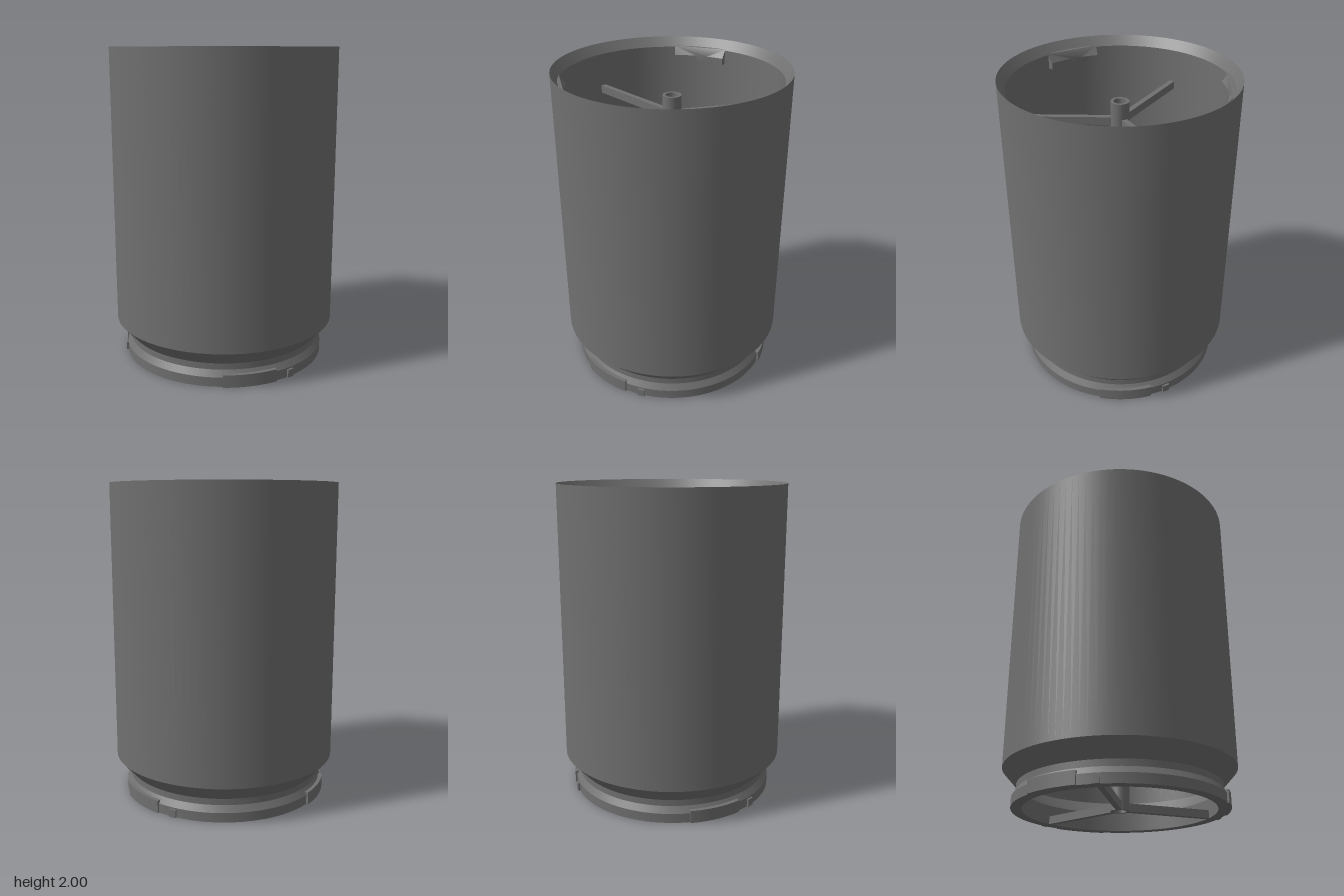
import * as THREE from 'three';
import { toCreasedNormals } from 'three/addons/utils/BufferGeometryUtils.js';

const grey = new THREE.MeshStandardMaterial({ color: 0x707070 });
grey.name = 'grey';

const rad = THREE.MathUtils.degToRad;

function add(parent, name, geometry) {
  const mesh = new THREE.Mesh(geometry, grey);
  mesh.name = name;
  parent.add(mesh);
  return mesh;
}

// Revolved closed profile, outside listed upwards, with sharp edges kept
function turned(profile, segments) {
  const points = profile.map(([r, y]) => new THREE.Vector2(r, y));
  return toCreasedNormals(new THREE.LatheGeometry(points, segments), 0.4);
}

// Ring sector from angle a0 to a1 (degrees from +x towards +z);
// innerDrop lowers the inner top edge to slope the top face
function sector(rIn, rOut, a0, a1, y0, y1, innerDrop = 0) {
  const shape = new THREE.Shape();
  shape.absarc(0, 0, rOut, rad(a0), rad(a1), false);
  shape.absarc(0, 0, rIn, rad(a1), rad(a0), true);
  const geometry = new THREE.ExtrudeGeometry(shape, { depth: y1 - y0, bevelEnabled: false, curveSegments: 16 });
  geometry.rotateX(Math.PI / 2).translate(0, y1, 0);
  const p = geometry.attributes.position;
  for (let i = 0; i < p.count; i++) {
    const r = Math.hypot(p.getX(i), p.getZ(i));
    if (r < (rIn + rOut) / 2 && p.getY(i) > y1 - 0.001) p.setY(i, y1 - innerDrop);
  }
  geometry.computeVertexNormals();
  return toCreasedNormals(geometry, 0.4);
}

export function createModel() {
  const group = new THREE.Group();
  group.name = 'canister';

  // Open tube with a chamfered mouth, tapered shoulder, neck and bottom flange
  add(group, 'body', turned([
    [0.588, 0], [0.655, 0], [0.655, 0.06], [0.63, 0.1], [0.63, 0.14], [0.72, 0.24], [0.72, 2],
    [0.675, 1.94], [0.675, 0.2], [0.65, 0.2], [0.588, 0.12], [0.588, 0],
  ], 96));

  // Central tube
  add(group, 'hub', turned([
    [0.04, 0], [0.058, 0], [0.058, 1.83], [0.04, 1.83], [0.04, 0],
  ], 32));

  // Parts repeated three times around the axis
  for (let i = 0; i < 3; i++) {
    const turn = i * 120;

    // Bayonet lug and small stop on the flange
    add(group, 'lug', sector(0.615, 0.667, 40.5 + turn, 70 + turn, 0, 0.08));
    add(group, 'stop', sector(0.615, 0.667, 29 + turn, 33 + turn, 0, 0.05));

    // Locking tab inside the mouth
    add(group, 'lockingTab', sector(0.64, 0.68, 75 + turn, 105 + turn, 1.85, 1.946, 0.053));

    // Upper and lower spokes joining the hub to the wall
    const spokes = new THREE.Group();
    spokes.name = 'spokes';
    for (const [name, top, end] of [['upperSpoke', 1.73, 0.677], ['lowerSpoke', 0.05, 0.6]]) {
      const start = 0.05;
      const spoke = add(spokes, name, new THREE.BoxGeometry(0.035, 0.05, end - start));
      spoke.position.set(0, top - 0.025, -(start + end) / 2);
    }
    spokes.rotation.y = rad(turn);
    group.add(spokes);
  }

  return group;
}
